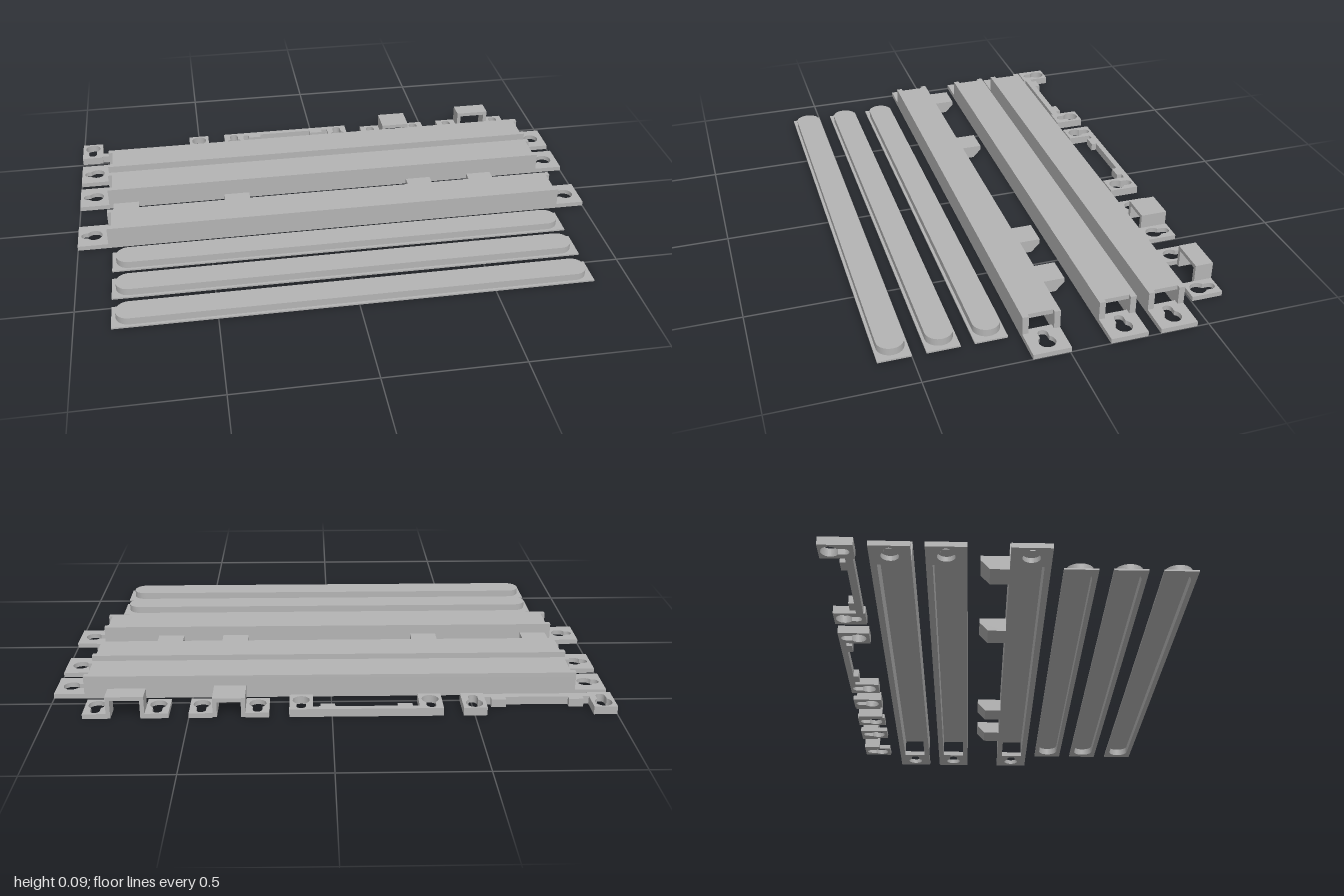
import * as THREE from 'three';

const grey = new THREE.MeshStandardMaterial({ color: 0xb4b4b4 });
grey.name = 'plain grey';

const add = (parent, name, geo) => {
  const m = new THREE.Mesh(geo, grey);
  m.name = name;
  parent.add(m);
  return m;
};

// Box given by its limits
function block(parent, name, x0, x1, y0, y1, z0, z1) {
  const g = new THREE.BoxGeometry(x1 - x0, y1 - y0, z1 - z0);
  g.translate((x0 + x1) / 2, (y0 + y1) / 2, (z0 + z1) / 2);
  return add(parent, name, g);
}

// Plan outline (x, z) raised from y0 to y1
function slab(parent, name, shape, y0, y1) {
  const g = new THREE.ExtrudeGeometry(shape, { depth: y1 - y0, bevelEnabled: false, curveSegments: 16 });
  g.rotateX(Math.PI / 2);
  g.translate(0, y1, 0);
  return add(parent, name, g);
}

const poly = (pts) => new THREE.Shape(pts.map(([x, z]) => new THREE.Vector2(x, z)));
const rect = (x0, x1, z0, z1) => poly([[x0, z0], [x1, z0], [x1, z1], [x0, z1]]);

// Round-ended bar outline
function stadium(x0, x1, z, r) {
  const s = new THREE.Shape();
  s.absarc(x1 - r, z, r, -Math.PI / 2, Math.PI / 2, false);
  s.absarc(x0 + r, z, r, Math.PI / 2, Math.PI * 1.5, false);
  s.closePath();
  return s;
}

// Keyhole: large circle with a narrow slot leading away at the given angle
function keyhole(x, z, angle, length = 0.053, R = 0.03, r = 0.017) {
  const p = new THREE.Path();
  const a = Math.asin(r / R);
  p.absarc(x, z, R, angle + a, angle - a + Math.PI * 2, false);
  p.absarc(x + length * Math.cos(angle), z + length * Math.sin(angle), r,
    angle - Math.PI / 2, angle + Math.PI / 2, false);
  p.closePath();
  return p;
}

function tab(parent, x0, x1, z0, z1, h, hole) {
  const s = rect(x0, x1, z0, z1);
  s.holes.push(hole);
  return slab(parent, 'keyholeTab', s, 0, h);
}

// Long inverted-U channel with a keyhole tab at each end
function channel(zc) {
  const g = new THREE.Group();
  g.name = 'channel';
  const w = 0.067, i = 0.045, h = 0.087;
  for (const s of [-1, 1]) {
    block(g, 'channelWall', -0.885, 0.89, 0, 0.07, Math.min(s * w, s * i), Math.max(s * w, s * i));
  }
  slab(g, 'channelTop', poly([
    [-0.885, -w], [0.89, -w], [0.89, -i], [0.876, -i], [0.876, i], [0.89, i], [0.89, w],
    [-0.885, w], [-0.885, i], [-0.868, i], [-0.868, -i], [-0.885, -i],
  ]), 0.07, h);
  tab(g, -1, -0.885, -w, w, 0.018, keyhole(-0.938, 0, Math.PI, 0.033));
  tab(g, 0.868, 1, -w, w, 0.018, keyhole(0.947, 0, Math.PI, 0.043));
  g.position.z = zc;
  return g;
}

// Flanged strip with a raised, hollow, round-ended ridge
function strip(zc) {
  const g = new THREE.Group();
  g.name = 'ridgedStrip';
  const cavity = () => stadium(-0.847, 0.843, 0, 0.04);
  const base = rect(-0.87, 0.87, -0.058, 0.058);
  base.holes.push(cavity());
  slab(g, 'stripFlange', base, 0, 0.006);
  const wall = stadium(-0.855, 0.851, 0, 0.048);
  wall.holes.push(cavity());
  slab(g, 'ridgeWall', wall, 0.006, 0.027);
  slab(g, 'ridgeTop', stadium(-0.855, 0.851, 0, 0.048), 0.027, 0.033);
  g.position.z = zc;
  return g;
}

const Z0 = -0.617, Z1 = -0.503;

// Flat bar bracket: two tabs, a bar along one edge and two nubs
function barBracket(x0, x1, barBack, nubs) {
  const g = new THREE.Group();
  g.name = 'barBracket';
  const h = 0.03, t = 0.083;
  for (const [a, b] of [[x0, x0 + t], [x1 - t, x1]]) {
    const c = (a + b) / 2;
    tab(g, a, b, Z0, Z1, h, barBack ? keyhole(c, -0.545, -Math.PI / 2, 0.046)
      : keyhole(c, -0.58, Math.PI / 2, 0.046));
  }
  const [b0, b1] = barBack ? [Z0, -0.595] : [-0.535, -0.51];
  block(g, 'bar', x0 + t, x1 - t, 0, h, b0, b1);
  const [n0, n1] = barBack ? [b1, b1 + 0.02] : [b0 - 0.02, b0];
  for (const x of nubs) block(g, 'barNub', x - 0.026, x + 0.026, 0, h, n0, n1);
  return g;
}

// Arched clip: two tabs joined by an upright loop
function archClip(x0, x1, zBack, zFront, h) {
  const g = new THREE.Group();
  g.name = 'archClip';
  const t = 0.083, w = 0.015;
  for (const [a, b] of [[x0, x0 + t], [x1 - t, x1]]) {
    tab(g, a, b, Z0, Z1, 0.018, keyhole((a + b) / 2, -0.545, -Math.PI / 2, 0.046));
  }
  const l = x0 + t, r = x1 - t;
  block(g, 'archSide', l, l + w, 0, h - w, zBack, zFront);
  block(g, 'archSide', r - w, r, 0, h - w, zBack, zFront);
  block(g, 'archTop', l, r, h - w, h, zBack, zFront);
  return g;
}

export function createModel() {
  const model = new THREE.Group();
  model.name = 'bracketSet';

  for (const z of [-0.391, -0.211, 0.062]) model.add(channel(z));
  for (const z of [0.229, 0.393, 0.558]) model.add(strip(z));

  // Chamfered hooks on the back of the front channel
  const hook = new THREE.Shape([[0, 0], [0.066, 0], [0.097, 0.033], [0.097, 0.05], [0, 0.05]]
    .map(([d, y]) => new THREE.Vector2(d, y)));
  for (const x of [-0.815, -0.375, 0.37, 0.625]) {
    const geo = new THREE.ExtrudeGeometry(hook, { depth: 0.1, bevelEnabled: false });
    geo.rotateY(Math.PI / 2);
    geo.translate(x - 0.05, 0, -0.004);
    add(model, 'hook', geo);
  }

  // Small brackets along the back
  model.add(barBracket(-1, -0.46, false, [-0.868, -0.592]));
  model.add(barBracket(-0.39, 0.15, true, [-0.257, 0.015]));
  model.add(archClip(0.22, 0.5, -0.613, -0.512, 0.073));
  model.add(archClip(0.57, 0.87, Z0, -0.55, 0.083));
  return model;
}
